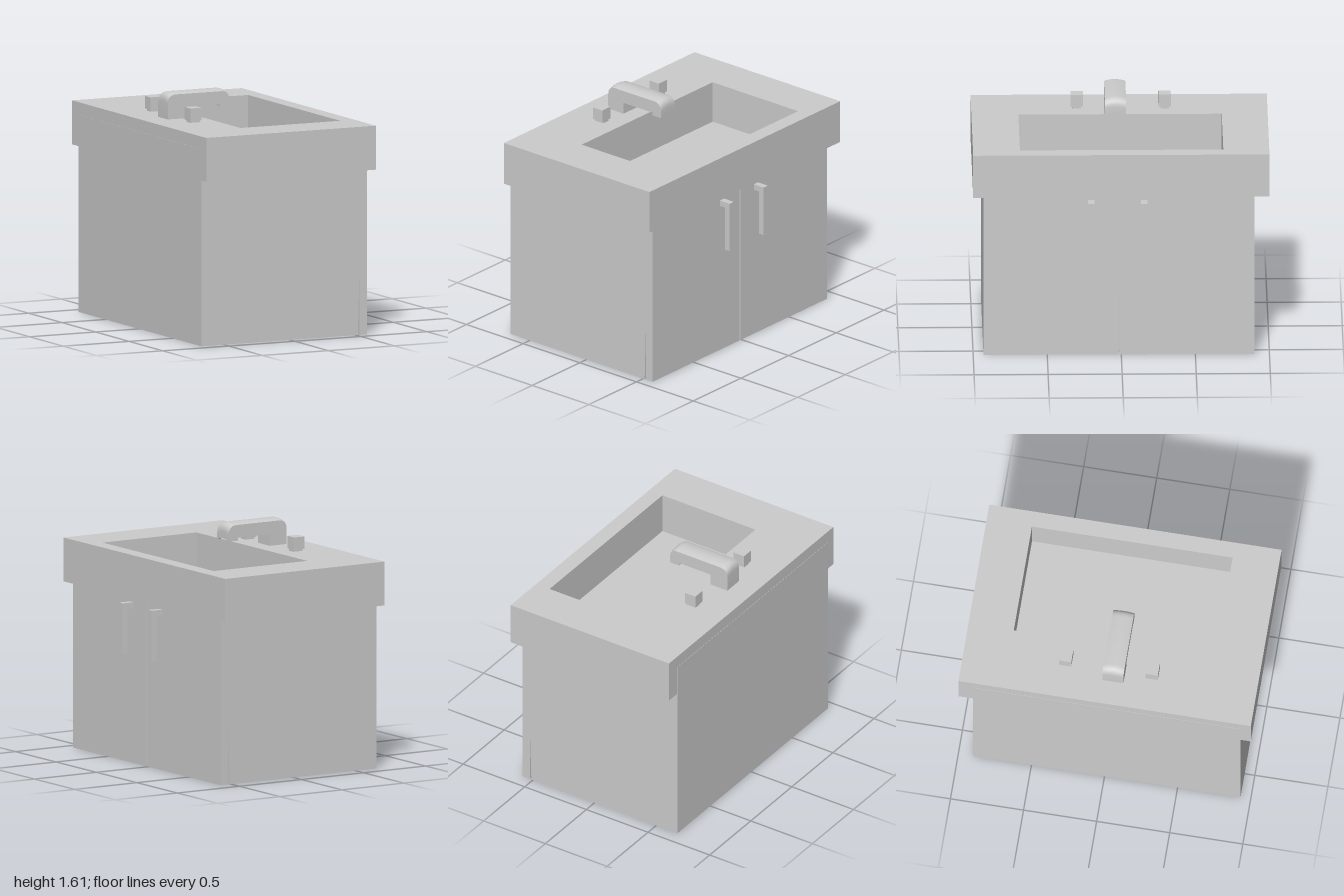
import * as THREE from 'three';
import { toCreasedNormals } from 'three/addons/utils/BufferGeometryUtils.js';

const material = new THREE.MeshStandardMaterial({ color: 0xcccccc, side: THREE.DoubleSide });

function add(group, name, geometry) {
  const mesh = new THREE.Mesh(geometry, material);
  mesh.name = name;
  group.add(mesh);
  return mesh;
}

// Box given by its limits on each axis
function box(group, name, [x0, x1], [y0, y1], [z0, z1]) {
  const mesh = add(group, name, new THREE.BoxGeometry(x1 - x0, y1 - y0, z1 - z0));
  mesh.position.set((x0 + x1) / 2, (y0 + y1) / 2, (z0 + z1) / 2);
  return mesh;
}

const polygon = (points) => new THREE.Shape(points.map(([x, y]) => new THREE.Vector2(x, y)));

// Extrudes an x-y profile from z0 to z1
function extrude(shape, z0, z1, steps = 1) {
  const geometry = new THREE.ExtrudeGeometry(shape, { depth: z1 - z0, steps, bevelEnabled: false, curveSegments: 8 });
  return geometry.translate(0, 0, z0);
}

function createCabinet() {
  const cabinet = new THREE.Group();
  cabinet.name = 'cabinet';
  // Body with a slightly receding lower front and a back panel rising behind the countertop
  const side = polygon([
    [-0.672, 0], [0.513, 0], [0.524, 0.38], [0.524, 1.13],
    [-0.66, 1.13], [-0.66, 1.345], [-0.672, 1.345],
  ]);
  add(cabinet, 'cabinetBody', extrude(side, -0.9, 0.93));
  box(cabinet, 'leftDoor', [0.525, 0.583], [0, 1.13], [-0.9, 0.008]);
  box(cabinet, 'rightDoor', [0.525, 0.583], [0, 1.13], [0.019, 0.93]);

  // L-shaped door pulls
  const pull = polygon([
    [0.583, 1.06], [0.63, 1.06], [0.63, 0.75], [0.67, 0.75], [0.67, 1.1], [0.583, 1.1],
  ]);
  for (const z of [-0.154, 0.203]) add(cabinet, 'doorHandle', extrude(pull, z - 0.022, z + 0.022));
  return cabinet;
}

function createCountertop() {
  const top = new THREE.Group();
  top.name = 'countertop';
  // Outline drawn in x and -z, then laid flat
  const outline = polygon([[-0.67, -1], [0.614, -1], [0.614, 1], [-0.67, 1]]);
  outline.holes.push(polygon([[-0.25, -0.683], [-0.25, 0.69], [0.505, 0.69], [0.505, -0.683]]));
  add(top, 'countertopSlab', extrude(outline, 1.13, 1.43).rotateX(-Math.PI / 2));
  box(top, 'basinFloor', [-0.25, 0.505], [1.13, 1.14], [-0.69, 0.683]);
  return top;
}

function createFaucet() {
  const faucet = new THREE.Group();
  faucet.name = 'faucet';
  // Spout profile with rounded upper corners and a small lip
  const profile = new THREE.Shape();
  profile.moveTo(-0.505, 1.43);
  profile.lineTo(-0.37, 1.43);
  profile.lineTo(-0.37, 1.51);
  profile.lineTo(-0.115, 1.51);
  profile.lineTo(-0.115, 1.502);
  profile.lineTo(-0.04, 1.502);
  profile.lineTo(-0.04, 1.55);
  profile.quadraticCurveTo(-0.042, 1.61, -0.1, 1.61);
  profile.lineTo(-0.445, 1.61);
  profile.quadraticCurveTo(-0.503, 1.61, -0.505, 1.55);
  const z0 = -0.042, z1 = 0.102;
  const geometry = extrude(profile, z0, z1, 10);
  // Crown the top and lip across the width
  const p = geometry.attributes.position;
  for (let i = 0; i < p.count; i++) {
    const x = p.getX(i), y = p.getY(i);
    const t = (p.getZ(i) - (z0 + z1) / 2) / ((z1 - z0) / 2);
    if (y > 1.53 || (y > 1.48 && x > -0.12 && y < 1.505)) p.setY(i, y - 0.013 * t * t);
  }
  add(faucet, 'spout', toCreasedNormals(geometry, 0.6));

  // Square tap knobs on short stems
  for (const z of [-0.306, 0.286]) {
    box(faucet, 'knobStem', [-0.442, -0.37], [1.43, 1.445], [z - 0.028, z + 0.028]);
    box(faucet, 'knob', [-0.45, -0.366], [1.445, 1.53], [z - 0.042, z + 0.042]);
  }
  return faucet;
}

export function createModel() {
  const model = new THREE.Group();
  model.name = 'sinkCabinet';
  model.add(createCabinet(), createCountertop(), createFaucet());
  return model;
}
